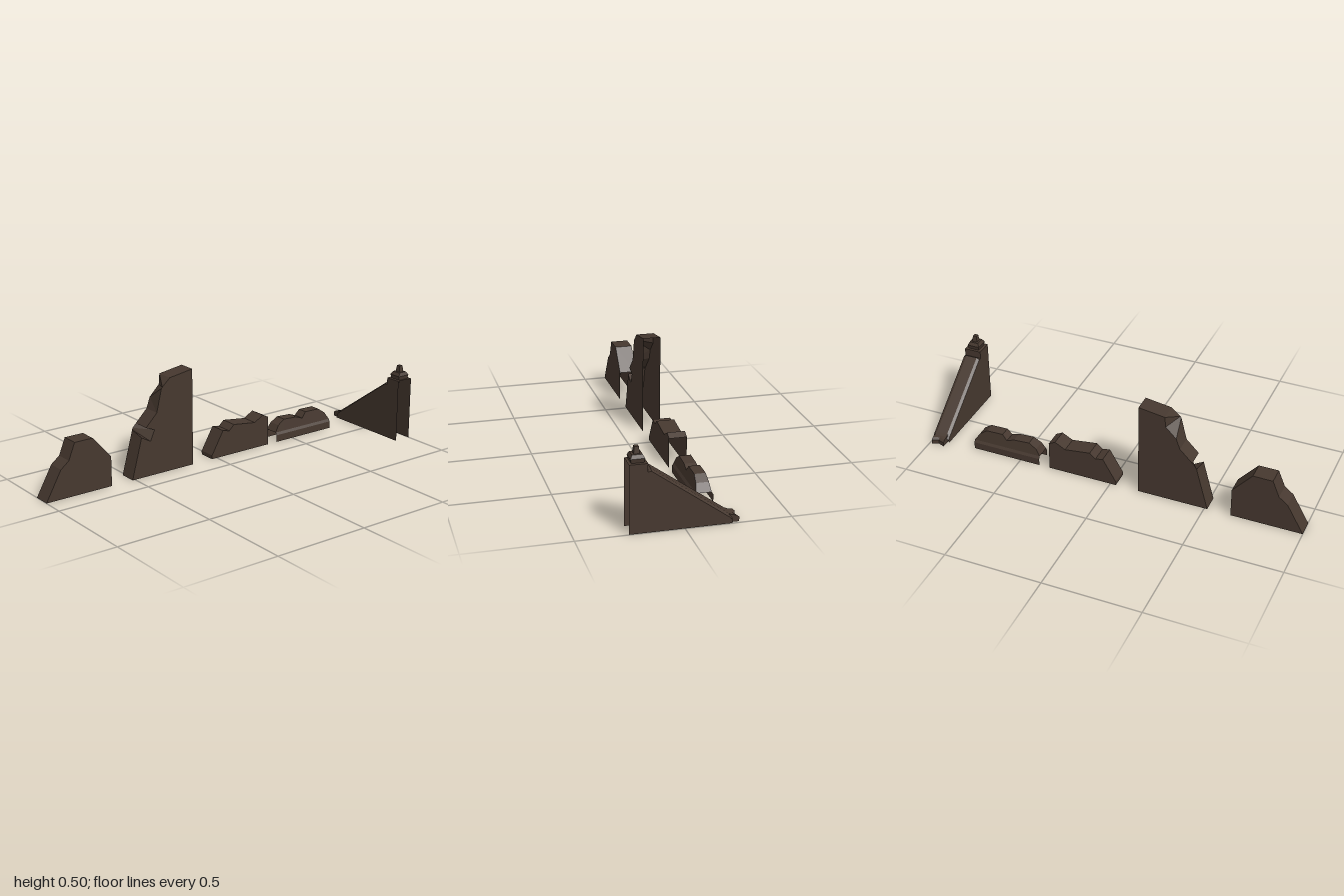
import * as THREE from 'three';
import { mergeGeometries } from 'three/addons/utils/BufferGeometryUtils.js';

const FRONT = -0.115, BACK = -0.205;

// Skin between successive rows of 3D points, flat shaded
function skin(...rows) {
  const p = [];
  for (let r = 0; r < rows.length - 1; r++) {
    const a = rows[r], b = rows[r + 1];
    for (let i = 0; i < a.length - 1; i++) {
      p.push(...a[i], ...a[i + 1], ...b[i + 1], ...a[i], ...b[i + 1], ...b[i]);
    }
  }
  return finish(p);
}

function finish(p) {
  const g = new THREE.BufferGeometry();
  g.setAttribute('position', new THREE.Float32BufferAttribute(p, 3));
  g.computeVertexNormals();
  return g;
}

// Flat polygon, placed in space by map(u, v); flip turns it to face the other way
function panel(pts, map, flip) {
  const v = pts.map(([x, y]) => new THREE.Vector2(x, y));
  const p = [];
  for (const t of THREE.ShapeUtils.triangulateShape(v, [])) {
    const q = t.map((i) => v[i]);
    const ccw = THREE.ShapeUtils.area(q) > 0;
    if (ccw === !!flip) q.reverse();
    q.forEach((c) => p.push(...map(c.x, c.y)));
  }
  return finish(p);
}

export function createModel() {
  const root = new THREE.Group();
  const stone = new THREE.MeshStandardMaterial({ color: 0x46382f, side: THREE.DoubleSide });
  stone.name = 'dark brown stone';

  const add = (name, geos, parent = root) => {
    const m = new THREE.Mesh(geos.length > 1 ? mergeGeometries(geos) : geos[0], stone);
    m.name = name;
    parent.add(m);
    return m;
  };
  const at = (pts, z) => pts.map(([x, y]) => [x, y, z]);

  // Hollow broken wall: two faces and a jagged top, open below and at its right end
  function wall(name, front, back = front) {
    const end = front[front.length - 1][0];
    const close = (pts) => [...pts, [end, 0]];
    add(name, [
      panel(close(front), (x, y) => [x, y, FRONT]),
      panel(close(back), (x, y) => [x, y, BACK], true),
      skin(at(front, FRONT), at(back, BACK)),
    ]);
  }

  wall('cornerWallFragment', [
    [-1, 0], [-0.915, 0.15], [-0.87, 0.185], [-0.835, 0.27], [-0.735, 0.27], [-0.635, 0.155],
  ]);

  // Tall fragment, chipped on the front edge and near the top of the back edge
  wall('tallWallFragment',
    [[-0.515, 0], [-0.457, 0.21], [-0.405, 0.18], [-0.38, 0.235], [-0.43, 0.255],
      [-0.365, 0.32], [-0.335, 0.44], [-0.33, 0.445], [-0.285, 0.485], [-0.15, 0.505]],
    [[-0.515, 0], [-0.457, 0.21], [-0.453, 0.225], [-0.45, 0.235], [-0.43, 0.255],
      [-0.365, 0.32], [-0.345, 0.375], [-0.29, 0.43], [-0.285, 0.485], [-0.15, 0.505]]);

  wall('lowWallFragment', [
    [-0.03, 0], [-0.03, 0.02], [0.04, 0.14], [0.08, 0.13], [0.11, 0.158],
    [0.245, 0.14], [0.3, 0.17], [0.335, 0.152],
  ]);

  // Footing wall: base band, chamfered ledge and rubble tapering upwards
  const ridge = [[0.393, 0.05], [0.415, 0.085], [0.455, 0.11], [0.54, 0.105], [0.58, 0.09],
    [0.605, 0.12], [0.695, 0.118], [0.735, 0.09], [0.763, 0.05]];
  const flat = (y) => ridge.map(([x]) => [x, y]);
  const taper = (side) => ridge.map(([x, y]) =>
    [x, y, -0.16 + side * (0.037 - (y - 0.05) * 0.14)]);
  add('footingWall', [skin(
    at(flat(0), FRONT), at(flat(0.037), FRONT), at(flat(0.05), -0.123),
    taper(1), taper(-1),
    at(flat(0.05), -0.197), at(flat(0.037), BACK), at(flat(0), BACK))]);

  // Buttress, hollow with open front and bottom
  const buttress = new THREE.Group();
  buttress.name = 'buttress';
  buttress.position.x = 0.953;
  root.add(buttress);
  const W = 0.045;
  const low = (z) => (z + 0.22) * 0.736;
  const side = [[0.255, 0], [0.255, 0.33], [0.17, 0.33], [0.17, low(0.17)], [-0.22, 0]];
  add('buttressSides', [
    panel(side, (z, y) => [W, y, z], true),
    panel(side, (z, y) => [-W, y, z]),
  ], buttress);
  add('postTop', [skin(
    [[-W, 0.33, 0.255], [W, 0.33, 0.255]],
    [[-W, 0.33, 0.17], [W, 0.33, 0.17]],
    [[-W, low(0.17), 0.17], [W, low(0.17), 0.17]])], buttress);

  // Sloping coping with bevelled edges
  const section = (z, h) => [[-W, 0], [-W, 0.65], [-0.03, 1], [0.03, 1], [W, 0.65], [W, 0]]
    .map(([x, k]) => [x, low(z) + k * h, z]);
  add('coping', [skin(section(0.17, 0.004), section(0.155, 0.024),
    section(-0.205, 0.032), section(-0.22, 0.026))], buttress);

  // Forked toe at the foot of the slope
  const toe = (x, notch) => [[-0.205, 0.043], [-0.22, 0.036], [-0.243 + notch, 0.032],
    [-0.255 + notch, 0.022], [-0.255 + notch, 0]].map(([z, y]) => [x, y, z]);
  const toeSide = [...toe(0, 0).map((p) => [p[2], p[1]]), [-0.205, 0]];
  add('toe', [
    skin(toe(0.034, 0), toe(0, 0.012), toe(-0.034, 0)),
    panel(toeSide, (z, y) => [0.034, y, z], true),
    panel(toeSide, (z, y) => [-0.034, y, z]),
  ], buttress);

  // Square finial in stacked tiers: [bottom y, top y, bottom half width, top half width]
  [[0.33, 0.35, 0.029, 0.033], [0.35, 0.367, 0.033, 0.024], [0.367, 0.4, 0.014, 0.01]]
    .forEach(([y0, y1, a, b], i) => {
      const g = new THREE.CylinderGeometry(b * Math.SQRT2, a * Math.SQRT2, y1 - y0, 4)
        .rotateY(Math.PI / 4).toNonIndexed();
      g.computeVertexNormals();
      add('finialTier' + (i + 1), [g], buttress).position.set(0, (y0 + y1) / 2, 0.213);
    });

  return root;
}
